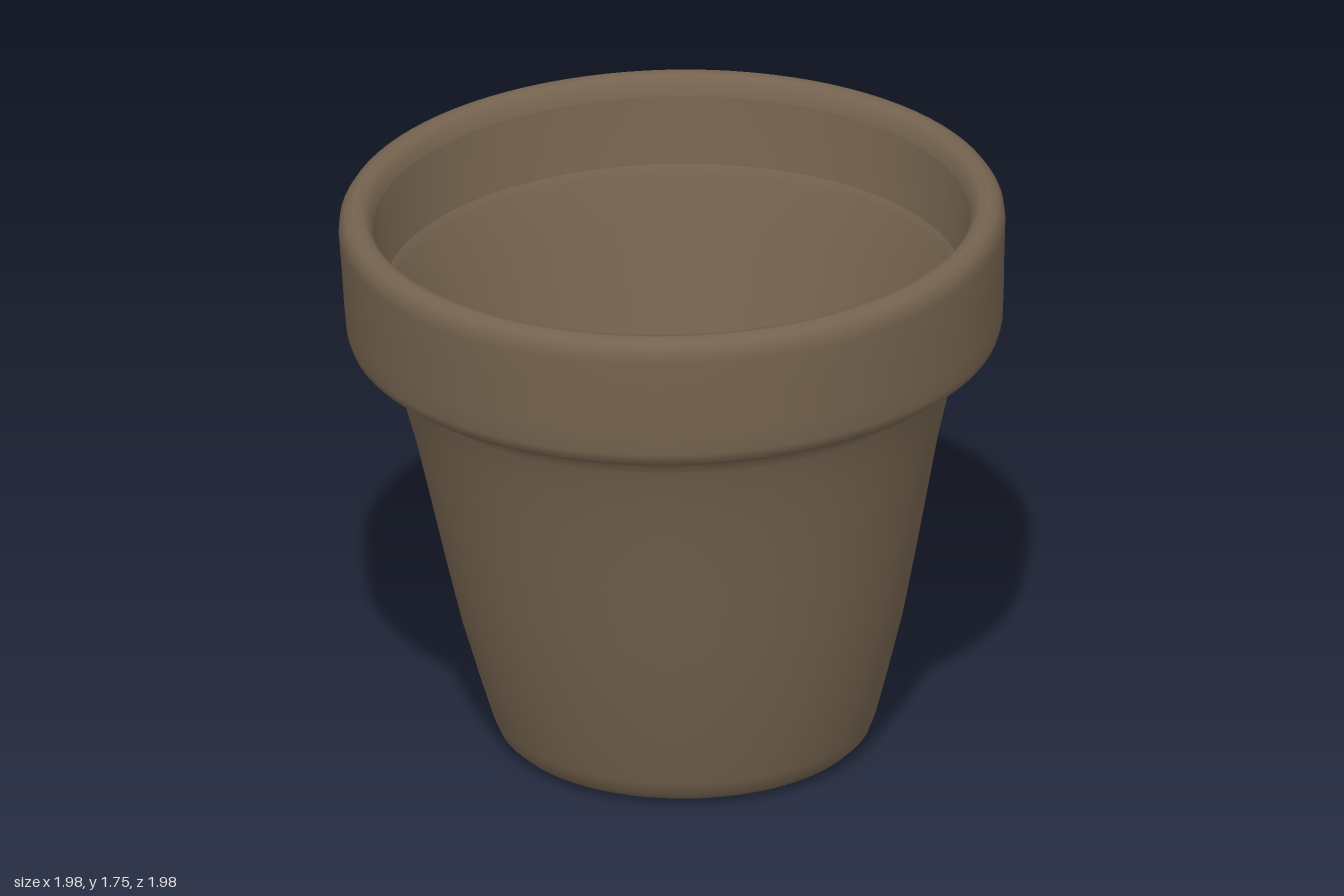
import * as THREE from 'three';

const clay = new THREE.MeshStandardMaterial({ color: 0x75634f });
clay.name = 'brown clay';

// Turn a [radius, height] profile, then lean and tilt it slightly for a hand-thrown shape.
function turned(name, profile) {
  const geo = new THREE.LatheGeometry(profile.map(([r, y]) => new THREE.Vector2(r, y)), 96);
  const pos = geo.attributes.position;
  for (let i = 0; i < pos.count; i++) {
    const x = pos.getX(i), y = pos.getY(i), z = pos.getZ(i);
    const t = y / 1.73;
    pos.setXYZ(i,
      x + 0.036 * (1 - t),
      y + (0.006 + 0.014 * t) * x - 0.007 * t * z,
      z - 0.028 * (1 - t));
  }
  const mesh = new THREE.Mesh(geo, clay);
  mesh.name = name;
  return mesh;
}

export function createModel() {
  const pot = new THREE.Group();
  pot.name = 'flowerPot';

  // Underside with a shallow recess around the drain hole
  pot.add(turned('base', [
    [0.10, 0.04], [0.33, 0.04], [0.37, 0.03], [0.41, 0.01], [0.45, 0.004], [0.50, 0.006],
  ]));

  // Tapered outer wall, flaring into the underside of the collar
  pot.add(turned('outerWall', [
    [0.50, 0.006], [0.53, 0.018], [0.555, 0.042], [0.572, 0.085], [0.61, 0.22], [0.66, 0.41],
    [0.70, 0.60], [0.74, 0.80], [0.78, 1.00], [0.815, 1.14], [0.842, 1.23], [0.856, 1.262],
    [0.878, 1.286], [0.905, 1.297],
  ]));

  // Thick collar with a rounded lip
  pot.add(turned('collar', [
    [0.905, 1.297], [0.945, 1.308], [0.967, 1.326], [0.976, 1.355], [0.980, 1.42], [0.985, 1.55],
    [0.991, 1.66], [0.987, 1.695], [0.972, 1.718], [0.945, 1.731], [0.918, 1.726], [0.898, 1.705],
    [0.888, 1.67],
  ]));

  // Inside: steep band below the lip, a crease, then the tapered wall
  pot.add(turned('innerBand', [[0.888, 1.67], [0.876, 1.56], [0.862, 1.46]]));
  pot.add(turned('innerWall', [
    [0.862, 1.46], [0.845, 1.43], [0.80, 1.28], [0.72, 1.00], [0.63, 0.68], [0.54, 0.37],
    [0.49, 0.20], [0.47, 0.155], [0.445, 0.14],
  ]));

  // Floor and the round drain hole through it
  pot.add(turned('floor', [[0.445, 0.14], [0.10, 0.135]]));
  pot.add(turned('drainHole', [[0.10, 0.135], [0.10, 0.04]]));

  return pot;
}
